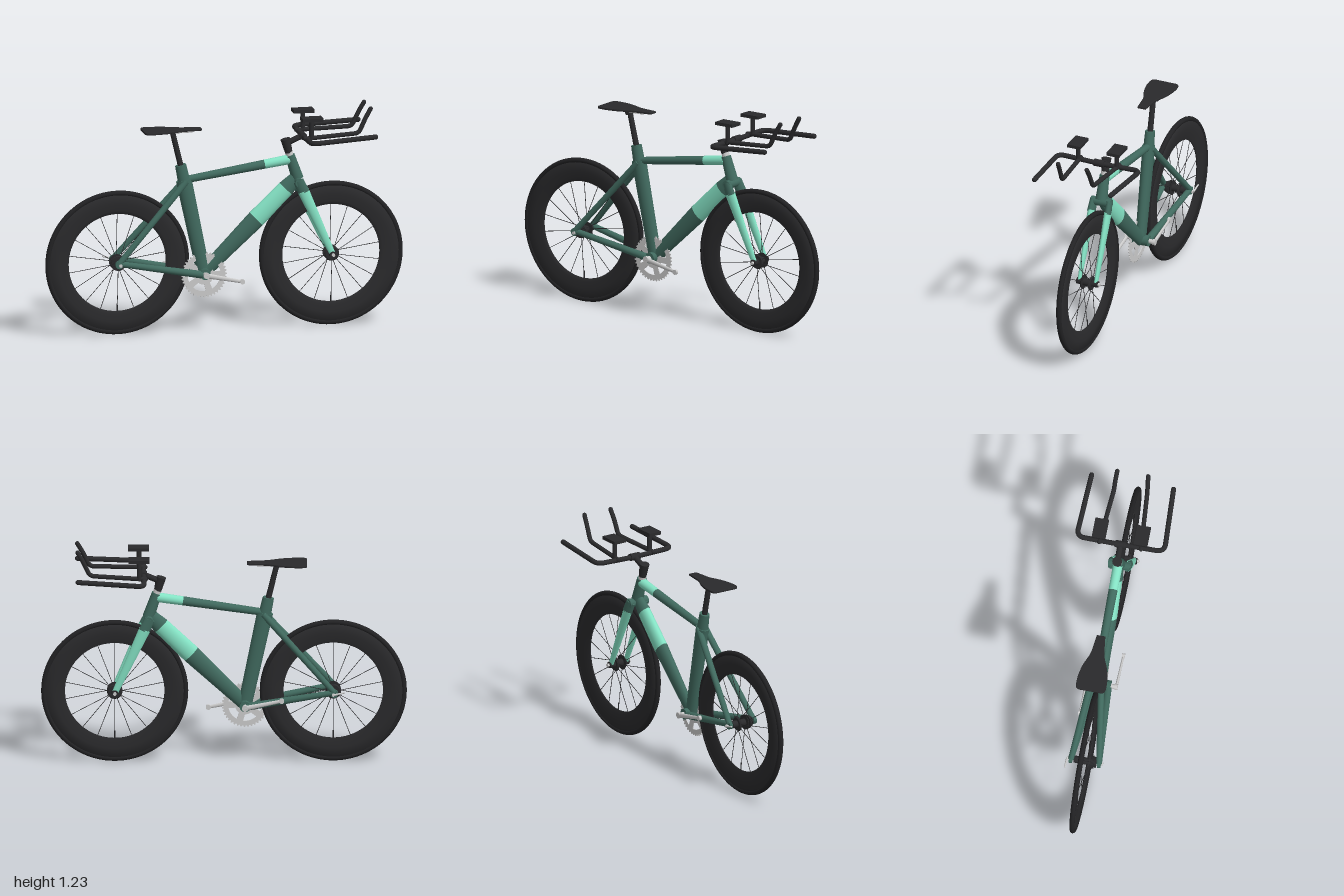
import * as THREE from 'three';

const mat = (color) => new THREE.MeshStandardMaterial({ color });
const DARK = mat(0x40695e), MINT = mat(0x84e2c4), BLACK = mat(0x2a2a2c), GREY = mat(0xcccccc);
const RUBBER = mat(0x222224);
const V = (x, y, z = 0) => new THREE.Vector3(x, y, z);
const WHEEL_Y = 0.405, AXLE_X = 0.598;

export function createModel() {
  const bike = new THREE.Group();
  bike.name = 'timeTrialBike';

  const add = (name, geometry, material, parent = bike) => {
    const mesh = new THREE.Mesh(geometry, material);
    mesh.name = name;
    parent.add(mesh);
    return mesh;
  };

  // Straight tapered tube from a to b; depth flattens its section across the bike
  const rod = (name, a, b, ra, rb, material, depth = 1, parent = bike, sides = 24) => {
    const dir = b.clone().sub(a);
    const g = new THREE.CylinderGeometry(rb, ra, dir.length(), sides);
    g.scale(1, 1, depth);
    const mesh = add(name, g, material, parent);
    mesh.position.copy(a).lerp(b, 0.5);
    mesh.quaternion.setFromUnitVectors(V(0, 1, 0), dir.normalize());
    return mesh;
  };

  // Bent tube through points with rounded corners and capped ends
  const bentBar = (name, points, corner, r, material) => {
    const path = new THREE.CurvePath();
    let from = points[0];
    for (let i = 1; i < points.length; i++) {
      const p = points[i], next = points[i + 1];
      if (!next) {
        path.add(new THREE.LineCurve3(from, p));
        break;
      }
      const start = p.clone().add(from.clone().sub(p).setLength(corner));
      const end = p.clone().add(next.clone().sub(p).setLength(corner));
      path.add(new THREE.LineCurve3(from, start));
      path.add(new THREE.QuadraticBezierCurve3(start, p, end));
      from = end;
    }
    add(name, new THREE.TubeGeometry(path, 90, r, 14), material);
    for (const p of [points[0], points[points.length - 1]]) {
      add(name + 'End', new THREE.SphereGeometry(r, 14, 8), material).position.copy(p);
    }
  };

  // Wheels: tyre, deep rim, hub, spokes and valve
  const rimProfile = [[0.272, -0.003], [0.29, -0.008], [0.33, -0.012], [0.378, -0.011],
    [0.378, 0.011], [0.33, 0.012], [0.29, 0.008], [0.272, 0.003], [0.272, -0.003]]
    .map(([r, z]) => new THREE.Vector2(r, z));
  for (const [name, x, hubHalf, axleHalf] of [['frontWheel', AXLE_X, 0.035, 0.075], ['rearWheel', -AXLE_X, 0.062, 0.1]]) {
    const wheel = new THREE.Group();
    wheel.name = name;
    wheel.position.set(x, WHEEL_Y, 0);
    bike.add(wheel);
    add('tyre', new THREE.TorusGeometry(0.388, 0.0145, 14, 96), RUBBER, wheel);
    add('rim', new THREE.LatheGeometry(rimProfile, 96), BLACK, wheel).rotation.x = Math.PI / 2;
    rod('hub', V(0, 0, -hubHalf), V(0, 0, hubHalf), 0.02, 0.02, BLACK, 1, wheel);
    for (const s of [-1, 1]) {
      rod('hubFlange', V(0, 0, s * 0.022), V(0, 0, s * 0.03), 0.042, 0.036, BLACK, 1, wheel);
    }
    rod('axle', V(0, 0, -axleHalf), V(0, 0, axleHalf), 0.009, 0.009, GREY, 1, wheel);
    const spokes = 18;
    for (let i = 0; i < spokes; i++) {
      const a = (i + 0.5) / spokes * Math.PI * 2, c = Math.cos(a), s = Math.sin(a);
      rod('spoke', V(c * 0.034, s * 0.034, i % 2 ? 0.025 : -0.025), V(c * 0.275, s * 0.275),
        0.0017, 0.0017, BLACK, 1, wheel, 6);
    }
    rod('valve', V(0, -0.275), V(0, -0.23), 0.004, 0.003, BLACK, 1, wheel, 8);
  }

  // Rear sprockets and skewer lever
  for (let i = 0; i < 5; i++) {
    const z = 0.036 + i * 0.006;
    rod('sprocket', V(-AXLE_X, WHEEL_Y, z), V(-AXLE_X, WHEEL_Y, z + 0.003), 0.04 - i * 0.003, 0.04 - i * 0.003, BLACK);
  }
  rod('skewerLever', V(-0.6, 0.405, -0.1), V(-0.66, 0.42, -0.103), 0.006, 0.004, GREY);

  // Main frame triangle
  const bb = V(-0.115, 0.325), headLow = V(0.412, 0.83), headHigh = V(0.368, 0.962);
  rod('bottomBracket', V(bb.x, bb.y, -0.052), V(bb.x, bb.y, 0.052), 0.03, 0.03, DARK);
  rod('seatTube', bb, V(-0.225, 0.85), 0.038, 0.044, DARK, 0.75);
  rod('seatTubeTop', V(-0.215, 0.8), V(-0.243, 0.935), 0.036, 0.031, DARK, 0.85);
  rod('topTube', V(-0.21, 0.852), V(0.225, 0.917), 0.02, 0.025, DARK);
  rod('topTubeBand', V(0.225, 0.917), V(0.365, 0.938), 0.025, 0.027, MINT);
  rod('downTube', bb, V(0.18, 0.613), 0.036, 0.052, DARK, 0.6);
  rod('downTubeBand', V(0.18, 0.613), V(0.345, 0.774), 0.052, 0.048, MINT, 0.6);
  rod('downTubeTop', V(0.345, 0.774), V(0.398, 0.827), 0.048, 0.038, DARK, 0.65);
  rod('headTube', headLow, headHigh, 0.033, 0.027, DARK);

  // Stays and fork blades on both sides
  for (const s of [-1, 1]) {
    const dropout = V(-0.603, 0.413, s * 0.078);
    rod('chainStay', dropout, V(-0.13, 0.322, s * 0.038), 0.016, 0.021, DARK);
    rod('seatStay', dropout, V(-0.215, 0.845, s * 0.02), 0.016, 0.018, DARK);
    rod('dropout', V(dropout.x, 0.408, s * 0.07), V(dropout.x, 0.408, s * 0.088), 0.022, 0.022, DARK);
    rod('forkShoulder', V(0.407, 0.825, s * 0.046), V(0.437, 0.76, s * 0.049), 0.029, 0.032, DARK, 0.6);
    rod('forkBlade', V(0.434, 0.768, s * 0.049), V(0.595, 0.412, s * 0.049), 0.032, 0.017, MINT, 0.6);
    rod('forkTip', V(0.597, 0.405, s * 0.035), V(0.597, 0.405, s * 0.063), 0.018, 0.018, BLACK);
  }
  rod('forkCrown', V(0.412, 0.815, -0.06), V(0.412, 0.815, 0.06), 0.024, 0.024, DARK);

  // Chainring with teeth and windows
  const ring = new THREE.Shape(), teeth = 40;
  for (let i = 0; i < teeth * 4; i++) {
    const a = i / (teeth * 4) * Math.PI * 2, r = i % 4 < 2 ? 0.127 : 0.118;
    ring[i ? 'lineTo' : 'moveTo'](Math.cos(a) * r, Math.sin(a) * r);
  }
  for (let i = 0; i < 5; i++) {
    const a = i / 5 * Math.PI * 2, hole = new THREE.Path();
    hole.absarc(0, 0, 0.092, a + 0.2, a + 1.05, false);
    hole.absarc(0, 0, 0.055, a + 0.95, a + 0.3, true);
    hole.closePath();
    ring.holes.push(hole);
  }
  const ringGeometry = new THREE.ExtrudeGeometry(ring, { depth: 0.005, bevelEnabled: false, curveSegments: 10 });
  add('chainring', ringGeometry, GREY).position.set(bb.x, 0.317, 0.014);

  // Cranks, opposite one another
  rod('crankAxle', V(bb.x, bb.y, -0.09), V(bb.x, bb.y, 0.09), 0.013, 0.013, GREY);
  for (const s of [-1, 1]) {
    const end = V(bb.x + s * 0.2, bb.y - s * 0.042, s * 0.084);
    rod('crankArm', V(bb.x, bb.y, s * 0.082), end, 0.014, 0.009, GREY, 0.6);
    for (const [p, r] of [[end, 0.014], [V(bb.x, bb.y, s * 0.082), 0.017]]) {
      rod('crankBoss', V(p.x, p.y, p.z - 0.008), V(p.x, p.y, p.z + 0.008), r, r, GREY);
    }
  }

  // Seat post, clamp and rails
  rod('seatPost', V(-0.24, 0.92), V(-0.287, 1.115), 0.016, 0.015, BLACK);
  rod('seatClamp', V(-0.288, 1.113, -0.026), V(-0.288, 1.113, 0.026), 0.012, 0.012, BLACK);
  for (const s of [-1, 1]) {
    rod('saddleRail', V(-0.38, 1.121, s * 0.024), V(-0.18, 1.121, s * 0.016), 0.004, 0.004, GREY, 1, bike, 8);
  }

  // Saddle: planform extruded thin, edges drooping a little
  const half = [[-0.452, 0.06], [-0.44, 0.078], [-0.38, 0.079], [-0.31, 0.064], [-0.24, 0.036], [-0.17, 0.026], [-0.13, 0.021]];
  const outline = new THREE.SplineCurve(half.map(([x, z]) => new THREE.Vector2(x, z))).getPoints(24);
  const mirrored = outline.map((p) => new THREE.Vector2(p.x, -p.y)).reverse();
  const saddle = new THREE.ExtrudeGeometry(new THREE.Shape([...outline, ...mirrored]),
    { depth: 0.006, bevelSize: 0.003, bevelThickness: 0.003, bevelSegments: 3 });
  saddle.rotateX(-Math.PI / 2);
  add('saddle', saddle, BLACK).position.y = 1.129;

  // Headset and stem
  rod('headset', headHigh, V(0.362, 0.983), 0.021, 0.021, GREY);
  rod('steererClamp', V(0.363, 0.977), V(0.343, 1.053), 0.021, 0.027, BLACK);
  rod('stem', V(0.35, 1.03), V(0.44, 1.068), 0.016, 0.016, BLACK);
  rod('barClamp', V(0.44, 1.068, -0.03), V(0.44, 1.068, 0.03), 0.02, 0.02, BLACK);

  // Base bar with forward horns
  bentBar('baseBar', [V(0.8, 1.092, -0.228), V(0.44, 1.072, -0.245), V(0.44, 1.066, 0),
    V(0.44, 1.072, 0.245), V(0.8, 1.092, 0.228)], 0.045, 0.014, BLACK);

  // Upturned extensions with arm pads
  for (const s of [-1, 1]) {
    bentBar('extension', [V(0.43, 1.075, s * 0.116), V(0.735, 1.088, s * 0.092),
      V(0.77, 1.165, s * 0.09), V(0.802, 1.22, s * 0.086)], 0.025, 0.0125, BLACK);
    rod('padPost', V(0.465, 1.07, s * 0.115), V(0.465, 1.178, s * 0.115), 0.013, 0.013, BLACK);
    add('armPad', new THREE.BoxGeometry(0.115, 0.018, 0.076), BLACK).position.set(0.467, 1.183, s * 0.117);
  }
  return bike;
}
